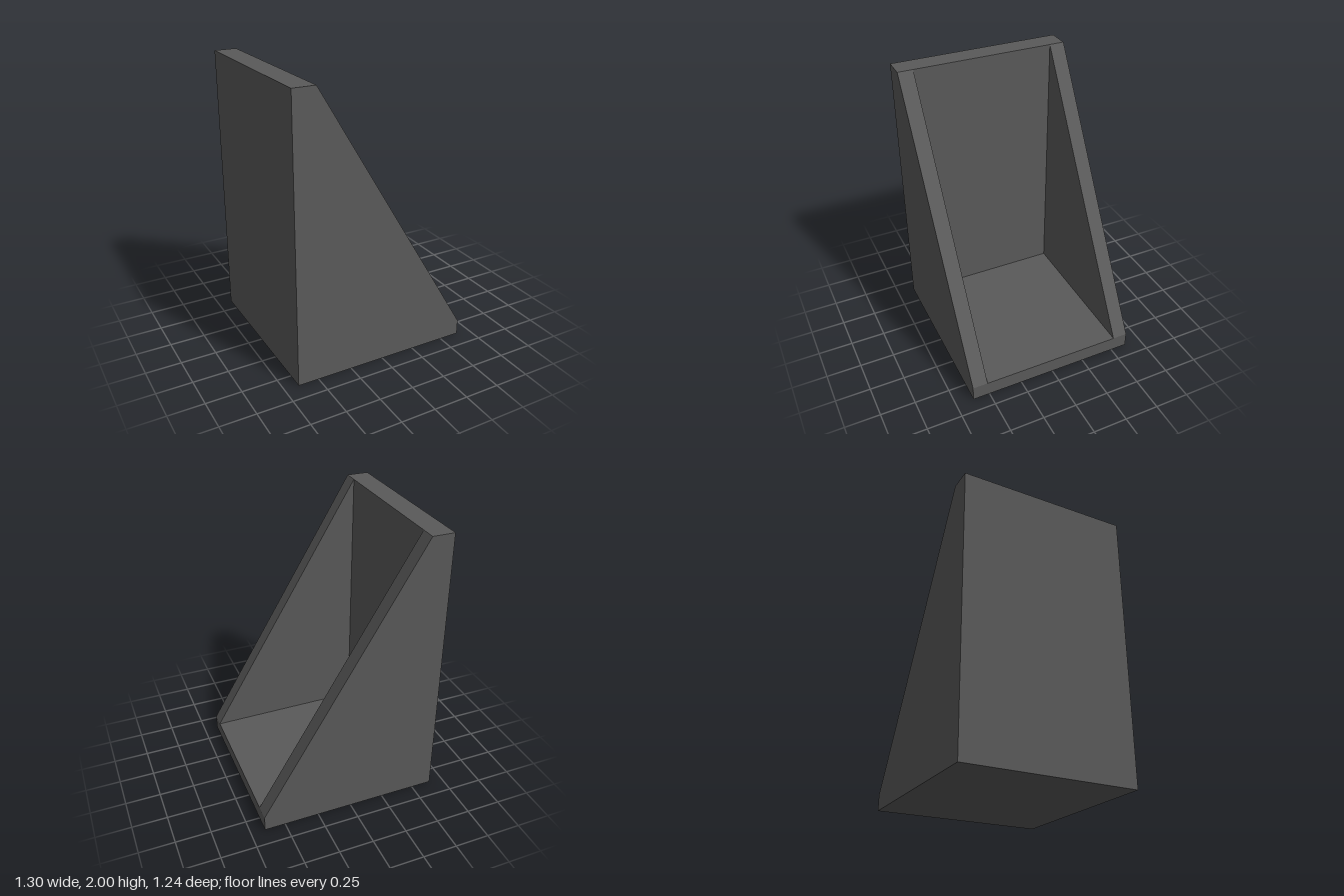
import * as THREE from 'three';

const HALF_X = 0.648, HEIGHT = 2, HALF_Z = 0.622;
const WALL = 0.158;   // back wall thickness
const PLATE = 0.11;   // floor and cheek thickness

export function createModel() {
  const group = new THREE.Group();
  group.name = 'bracket';
  const grey = new THREE.MeshStandardMaterial({ color: 0x5a5a5a });
  grey.name = 'dark grey';

  // Extrudes an x-y outline from z0 to z1
  function slab(name, points, z0, z1) {
    const shape = new THREE.Shape(points.map(([x, y]) => new THREE.Vector2(x, y)));
    const geometry = new THREE.ExtrudeGeometry(shape, { depth: z1 - z0, bevelEnabled: false });
    geometry.translate(0, 0, z0);
    const mesh = new THREE.Mesh(geometry, grey);
    mesh.name = name;
    group.add(mesh);
  }

  const wallX = -HALF_X + WALL;
  const inner = HALF_Z - PLATE;

  // Upright wall and floor as one L-shaped section
  slab('wallAndFloor', [
    [-HALF_X, 0], [HALF_X, 0], [HALF_X, PLATE],
    [wallX, PLATE], [wallX, HEIGHT], [-HALF_X, HEIGHT],
  ], -inner, inner);

  // Sloping side cheeks
  const cheek = [
    [-HALF_X, 0], [HALF_X, 0], [HALF_X, PLATE],
    [wallX, HEIGHT], [-HALF_X, HEIGHT],
  ];
  slab('frontCheek', cheek, inner, HALF_Z);
  slab('backCheek', cheek, -HALF_Z, -inner);

  return group;
}
